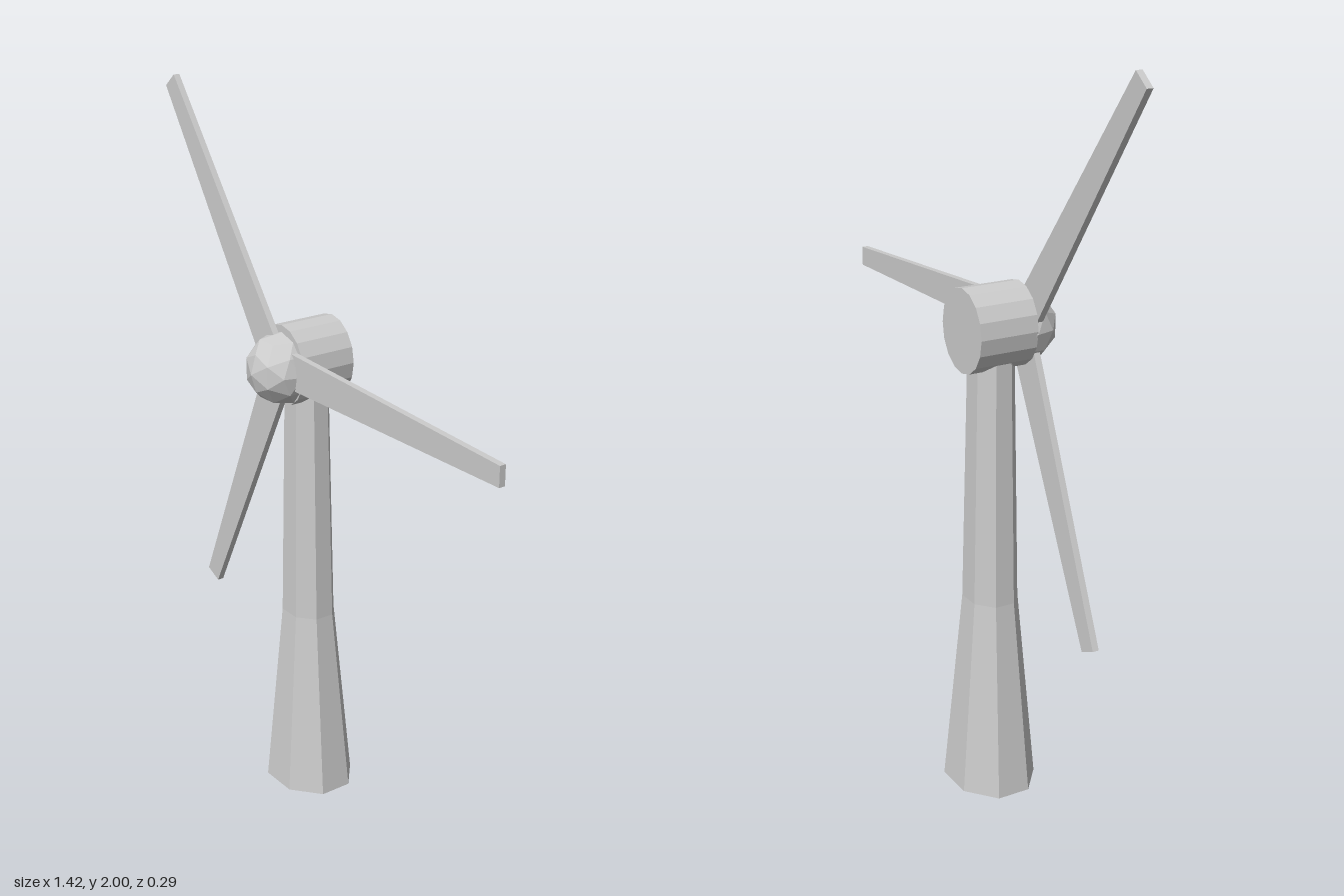
import * as THREE from 'three';

const grey = new THREE.MeshStandardMaterial({ color: 0xcccccc, flatShading: true });
const greyOpen = new THREE.MeshStandardMaterial({ color: 0xcccccc, flatShading: true, side: THREE.DoubleSide });
const AXIS_X = -0.17;

function add(group, name, geometry, material = grey) {
  const mesh = new THREE.Mesh(geometry, material);
  mesh.name = name;
  group.add(mesh);
  return mesh;
}

// Tapered blade pointing along +x, drifting slightly back toward its tip
function bladeGeometry(length) {
  const root = 0.07;
  const geo = new THREE.BoxGeometry(1, 1, 1);
  const p = geo.attributes.position;
  for (let i = 0; i < p.count; i++) {
    const t = p.getX(i) + 0.5;
    const low = THREE.MathUtils.lerp(-0.045, -0.05, t);
    const high = THREE.MathUtils.lerp(0.055, 0.005, t);
    const z = THREE.MathUtils.lerp(0.055, 0.041, t) + p.getZ(i) * 0.018;
    p.setXYZ(i, THREE.MathUtils.lerp(root, length, t), p.getY(i) > 0 ? high : low, z);
  }
  geo.computeVertexNormals();
  return geo;
}

export function createModel() {
  const group = new THREE.Group();

  // Eight-sided hollow tower, flaring below the middle
  const profile = [[0.135, 0], [0.08, 0.55], [0.065, 1.25]].map(([r, y]) => new THREE.Vector2(r / Math.cos(Math.PI / 8), y));
  const towerGeo = new THREE.LatheGeometry(profile, 8, Math.PI / 8);
  towerGeo.scale(1, 1, 0.83);
  add(group, 'tower', towerGeo, greyOpen).position.set(AXIS_X, 0, -0.035);

  // Nacelle
  const nacelleGeo = new THREE.CylinderGeometry(0.1, 0.1, 0.165, 16);
  nacelleGeo.rotateX(Math.PI / 2);
  nacelleGeo.scale(1, 1.12, 1);
  add(group, 'nacelle', nacelleGeo).position.set(AXIS_X, 1.302, -0.0375);

  // Rotor: faceted hub and three blades
  const rotor = new THREE.Group();
  rotor.name = 'rotor';
  rotor.position.set(AXIS_X, 1.3, 0);
  add(rotor, 'hub', new THREE.IcosahedronGeometry(0.1, 1)).position.set(0, -0.006, 0.045);
  const blades = [[0, 0.88], [128.7, 0.86], [245.5, 0.854]];
  blades.forEach(([angle, length], i) => {
    add(rotor, `blade${i + 1}`, bladeGeometry(length)).rotation.z = THREE.MathUtils.degToRad(angle);
  });
  group.add(rotor);

  return group;
}
